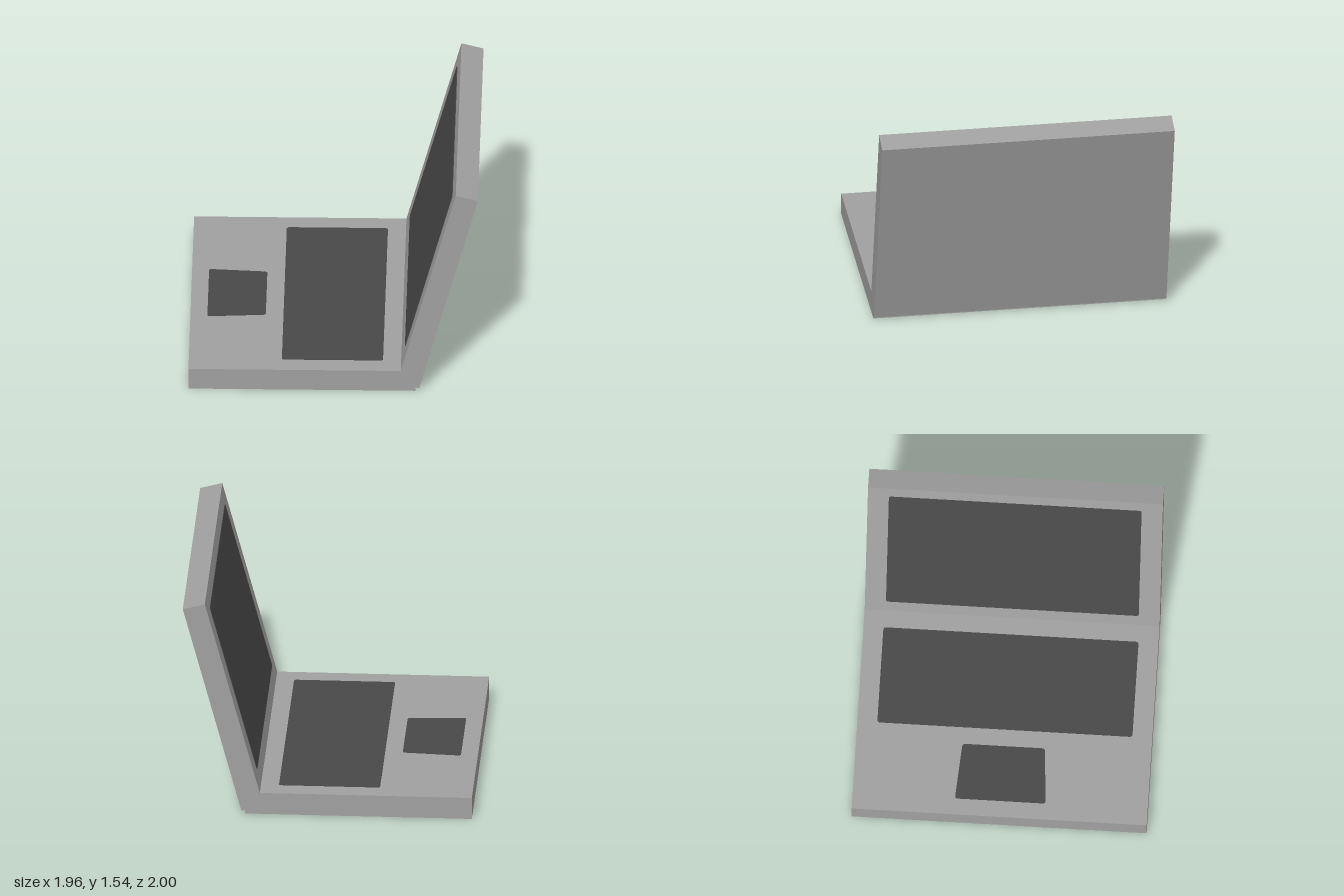
import * as THREE from 'three';

const shell = new THREE.MeshStandardMaterial({ color: 0xa0a0a0 });
shell.name = 'shellGrey';
const dark = new THREE.MeshStandardMaterial({ color: 0x494949 });
dark.name = 'darkGrey';

const PLATE = 0.004;

function add(parent, name, geometry, material) {
  const mesh = new THREE.Mesh(geometry, material);
  mesh.name = name;
  parent.add(mesh);
  return mesh;
}

// Thin plate from four corners (counter-clockwise) with softly rounded corners
function plate(corners, radius = 0.02) {
  const pts = corners.map(([x, y]) => new THREE.Vector2(x, y));
  const shape = new THREE.Shape();
  pts.forEach((p, i) => {
    const toward = (q) => p.clone().add(q.clone().sub(p).setLength(radius));
    const a = toward(pts[(i + 3) % 4]);
    const b = toward(pts[(i + 1) % 4]);
    if (i === 0) shape.moveTo(a.x, a.y);
    else shape.lineTo(a.x, a.y);
    shape.quadraticCurveTo(p.x, p.y, b.x, b.y);
  });
  shape.closePath();
  return new THREE.ExtrudeGeometry(shape, { depth: PLATE, bevelEnabled: false, curveSegments: 4 });
}

export function createModel() {
  const model = new THREE.Group();
  model.name = 'laptop';
  const length = 1.537, thick = 0.155;

  // Base slab with keyboard and trackpad on its upper face
  const base = new THREE.Group();
  base.name = 'base';
  model.add(base);
  add(base, 'baseShell', new THREE.BoxGeometry(length, thick, 2), shell)
    .position.set(-0.98 + length / 2, thick / 2, 0);

  const pads = {
    keyboard: [[-0.35, -0.865], [0.335, -0.865], [0.335, 0.865], [-0.35, 0.865]],
    trackpad: [[-0.865, -0.307], [-0.47, -0.28], [-0.47, 0.28], [-0.865, 0.307]],
  };
  for (const [name, corners] of Object.entries(pads)) {
    add(base, name, plate(corners).rotateX(-Math.PI / 2), dark).position.y = thick;
  }

  // Lid hinged at the inner lower edge and leaning back
  const lid = new THREE.Group();
  lid.name = 'lid';
  lid.position.set(0.432, 0.06, 0);
  lid.rotation.z = -THREE.MathUtils.degToRad(15);
  model.add(lid);
  add(lid, 'lidShell', new THREE.BoxGeometry(thick, length, 2), shell)
    .position.set(thick / 2, length / 2, 0);
  const screen = plate([[-0.857, 0.21], [0.857, 0.21], [0.857, 1.445], [-0.857, 1.445]]);
  add(lid, 'screen', screen.rotateY(-Math.PI / 2), dark);

  return model;
}
